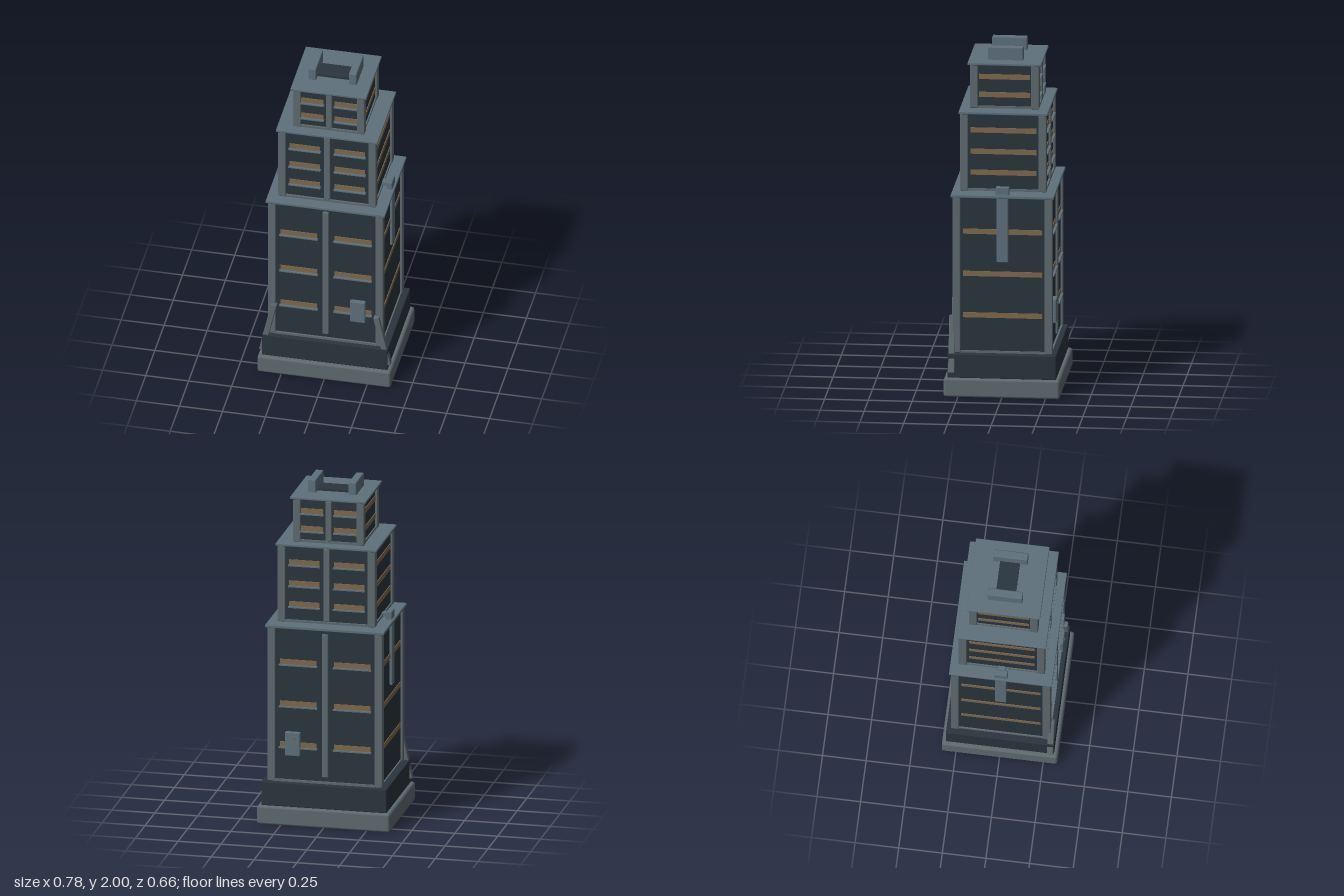
import * as THREE from 'three';
import { RoundedBoxGeometry } from 'three/addons/geometries/RoundedBoxGeometry.js';

const mat = (color) => new THREE.MeshStandardMaterial({ color, roughness: 0.8 });

export function createModel() {
  const model = new THREE.Group();
  model.name = 'steppedTower';
  const wall = mat(0x2b353e), trim = mat(0x5f6b70), roof = mat(0x5e717d), glow = mat(0x80694c);

  // Box given by its extents on each axis; bevel softens the edges
  function box(parent, name, material, [x0, x1], [y0, y1], [z0, z1], bevel = 0) {
    const w = x1 - x0, h = y1 - y0, d = z1 - z0;
    const geo = bevel ? new RoundedBoxGeometry(w, h, d, 1, bevel) : new THREE.BoxGeometry(w, h, d);
    const mesh = new THREE.Mesh(geo, material);
    mesh.position.set((x0 + x1) / 2, (y0 + y1) / 2, (z0 + z1) / 2);
    mesh.name = name;
    parent.add(mesh);
    return mesh;
  }
  // Extents mirrored to the side s (+1 or -1)
  const side = (s, a, b) => (s > 0 ? [a, b] : [-b, -a]);
  const sym = (a) => [-a, a];

  // Foundation
  box(model, 'plinth', trim, sym(0.388), [0, 0.11], sym(0.332), 0.014);
  box(model, 'lowerBlock', wall, sym(0.366), [0.108, 0.25], sym(0.31), 0.006);

  // Three stacked storeys: outer half sizes, roof slab, window rows and spans
  const tiers = [
    { x: 0.335, z: 0.286, y: [0.25, 1.165], cap: [0.347, 0.295], capY: [1.162, 1.18],
      mullion: [0.29, 1.14], rows: [0.471, 0.714, 0.962], span: [0.05, 0.265], sideSpan: 0.227 },
    { x: 0.285, z: 0.247, y: [1.19, 1.642], cap: [0.296, 0.255], capY: [1.64, 1.656],
      mullion: [1.205, 1.635], rows: [1.297, 1.42, 1.545], span: [0.042, 0.22], sideSpan: 0.188 },
    { x: 0.208, z: 0.198, y: [1.656, 1.912], cap: [0.221, 0.211], capY: [1.91, 1.925],
      mullion: [1.67, 1.905], rows: [1.735, 1.84], span: [0.032, 0.162], sideSpan: 0.146 },
  ];
  tiers.forEach((t, i) => {
    const tier = new THREE.Group();
    tier.name = 'tier' + (i + 1);
    model.add(tier);
    const bx = t.x - 0.014, bz = t.z - 0.014;
    box(tier, 'walls', wall, sym(bx), t.y, sym(bz));
    box(tier, 'baseTrim', trim, sym(t.x - 0.006), [t.y[0], t.y[0] + 0.013], sym(t.z - 0.003));
    box(tier, 'roofSlab', roof, sym(t.cap[0]), t.capY, sym(t.cap[1]), 0.004);
    for (const s of [1, -1]) {
      for (const r of [1, -1])
        box(tier, 'cornerPost', trim, side(s, t.x - 0.045, t.x), t.y, side(r, t.z - 0.046, t.z), 0.005);
      // Front and back mullions
      box(tier, 'mullion', trim, sym(0.018), t.mullion, side(s, bz - 0.01, t.z), 0.004);
      for (const y of t.rows) {
        box(tier, 'sideWindow', glow, side(s, bx - 0.01, bx + 0.004), [y - 0.015, y + 0.015], sym(t.sideSpan));
        for (const r of [1, -1]) {
          box(tier, 'window', glow, side(r, ...t.span), [y - 0.015, y + 0.015], side(s, bz - 0.01, bz + 0.004));
          box(tier, 'windowLedge', roof, side(r, t.span[0] - 0.004, t.span[1] + 0.004),
            [y - 0.022, y - 0.015], side(s, bz - 0.01, t.z + 0.004));
        }
      }
    }
  });

  for (const s of [1, -1]) {
    // Slanted braces at the front corners
    const brace = box(model, 'brace', trim, [-0.0165, 0.0165], [-0.165, 0.165], [0.27, 0.306], 0.004);
    brace.position.x = s * 0.332;
    brace.position.y = 0.3;
    brace.rotation.z = s * 0.215;

    // Side ducts rising over the first roof
    box(model, 'sideDuct', roof, side(s, 0.305, 0.336), [0.785, 1.19], sym(0.033), 0.005);
    box(model, 'ductHead', roof, side(s, 0.3, 0.335), [1.175, 1.226], sym(0.039), 0.006);
    box(model, 'ductLink', roof, side(s, 0.27, 0.31), [1.185, 1.21], sym(0.02));

    // Service boxes on front and back
    box(model, 'serviceBox', roof, [0.143, 0.232], [0.408, 0.548], side(s, 0.265, 0.298), 0.005);
    box(model, 'serviceLamp', glow, [0.175, 0.2], [0.511, 0.519], side(s, 0.29, 0.3));

    // Roof parapets
    box(model, 'parapet', roof, side(s, 0.095, 0.141), [1.92, 2], sym(0.1), 0.006);
  }
  box(model, 'roofHatch', wall, sym(0.098), [1.92, 1.937], sym(0.057));

  return model;
}
